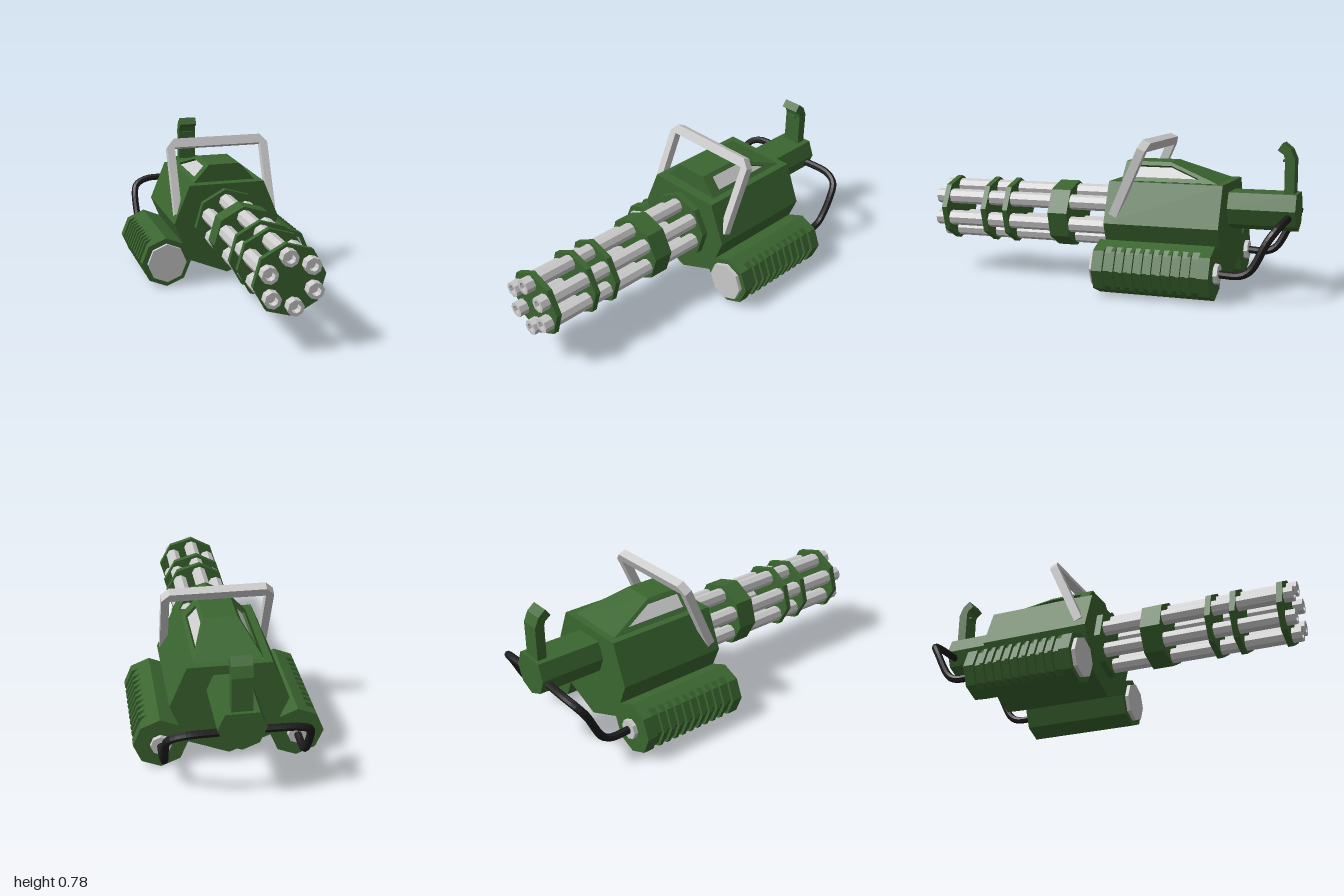
import * as THREE from 'three';

const mat = (color, side = THREE.FrontSide) =>
  new THREE.MeshStandardMaterial({ color, flatShading: true, side });
const green = mat(0x3b6630, THREE.DoubleSide);
const grey = mat(0xcccccc);
const black = mat(0x1c1c1c);

const AXIS_Y = 0.345; // height of the barrel axis
const RAD = Math.PI / 180;

export function createModel() {
  const root = new THREE.Group();

  const add = (name, geo, material, parent = root) => {
    const mesh = new THREE.Mesh(geo, material);
    mesh.name = name;
    parent.add(mesh);
    return mesh;
  };
  const group = (name) => {
    const g = new THREE.Group();
    g.name = name;
    root.add(g);
    return g;
  };
  // corner of a polygon at an angle in degrees
  const at = (deg, r, x = 0, y = 0) =>
    new THREE.Vector2(x + r * Math.cos(deg * RAD), y + r * Math.sin(deg * RAD));
  const ngon = (n, r, x, y, rot = 90) =>
    Array.from({ length: n }, (_, i) => at(rot + (i * 360) / n, r, x, y));
  const xy = (list) => list.map(([x, y]) => new THREE.Vector2(x, y));
  // prism along z between z0 (back) and z1 (front)
  const prism = (points, z0, z1) =>
    new THREE.ExtrudeGeometry(new THREE.Shape(points), { depth: z1 - z0, bevelEnabled: false })
      .translate(0, 0, z0);

  // main housing and rear housing: octagons without their top corner
  add('mainHousing', prism(ngon(8, 0.295, 0, AXIS_Y).slice(1), -0.655, -0.055), green);
  add('rearHousing', prism(ngon(8, 0.115, 0, 0.425).slice(1), -1, -0.65), green);

  // barrel cluster
  const cluster = group('barrelCluster');
  add('frontCollar', prism(ngon(8, 0.185, 0, AXIS_Y, 96), -0.06, -0.02), green, cluster);
  for (const [z0, z1] of [[0.2, 0.31], [0.55, 0.58], [0.68, 0.71], [0.92, 0.95]]) {
    add('barrelClamp', prism(ngon(8, 0.177, 0, AXIS_Y, 96), z0, z1), green, cluster);
  }
  const barrelProfile = xy([[0, -0.05], [0.041, -0.05], [0.041, 1], [0.024, 1], [0.024, 0.96], [0, 0.96]]);
  for (const c of ngon(6, 0.12, 0, AXIS_Y, 97)) {
    const barrel = new THREE.LatheGeometry(barrelProfile, 8)
      .rotateX(Math.PI / 2).rotateZ(7 * RAD).translate(c.x, c.y, 0);
    add('barrel', barrel, grey, cluster);
  }

  // top cover: front, roof and rear slope as one strip of quads
  const cover = group('topCover');
  const rows = [[0.17, 0.555, -0.11], [0.085, 0.65, -0.11], [0.085, 0.65, -0.35], [0.17, 0.555, -0.62]];
  const strip = [];
  for (let i = 0; i < 3; i++) {
    const [[w0, y0, z0], [w1, y1, z1]] = [rows[i], rows[i + 1]];
    strip.push(-w0, y0, z0, w0, y0, z0, w1, y1, z1, -w0, y0, z0, w1, y1, z1, -w1, y1, z1);
  }
  const coverGeo = new THREE.BufferGeometry();
  coverGeo.setAttribute('position', new THREE.Float32BufferAttribute(strip, 3));
  coverGeo.computeVertexNormals();
  add('coverShell', coverGeo, green, cover);

  // slanted cover sides with recessed windows
  const slant = Math.hypot(0.085, 0.095);
  const inset = 0.014;
  for (const s of [1, -1]) {
    const outline = (list) => xy(list.map(([d, t]) => [s * d, t * slant]));
    const windowPoints = outline([[0.17, 0.2], [0.52, 0.2], [0.36, 0.8], [0.17, 0.8]]);
    const panel = new THREE.Shape(outline([[0.11, 0], [0.62, 0], [0.35, 1], [0.11, 1]]));
    panel.holes.push(new THREE.Path(windowPoints));
    const u = new THREE.Vector3(0, 0, -s);
    const v = new THREE.Vector3(-s * 0.085, 0.095, 0).normalize();
    const frame = new THREE.Matrix4()
      .makeBasis(u, v, u.clone().cross(v))
      .setPosition(s * 0.17, 0.555, 0);
    const side = new THREE.ExtrudeGeometry(panel, { depth: inset, bevelEnabled: false });
    add('coverSide', side.translate(0, 0, -inset).applyMatrix4(frame), green, cover);
    const pane = new THREE.ShapeGeometry(new THREE.Shape(windowPoints));
    add('coverWindow', pane.translate(0, 0, -inset).applyMatrix4(frame), grey, cover);
  }

  // carrying handle: one tilted frame with chamfered top corners
  const handleHalf = [[0.245, 0], [0.286, 0], [0.286, 0.373], [0.245, 0.418]];
  const handlePoints = xy([
    [0.245, 0.368], ...handleHalf,
    ...handleHalf.map(([x, y]) => [-x, y]).reverse(), [-0.245, 0.368],
  ]);
  const handle = add('carryHandle', prism(handlePoints, -0.0225, 0.0225), grey);
  handle.position.set(0, 0.385, -0.1);
  handle.rotation.x = -24 * RAD;

  // side drums with ribbed outer faces, caps and hoses
  for (const s of [1, -1]) {
    const drum = group(s > 0 ? 'leftDrum' : 'rightDrum');
    const x = s * 0.342;
    const y = 0.136;
    const r = 0.136;
    const turn = (p) => new THREE.Vector2(x + s * p.x, y + p.y);
    const core = [
      at(90, r), at(90, r).lerp(at(45, r), 0.6),
      at(45, 0.119), at(0, 0.119), at(-45, 0.119),
      at(-90, r).lerp(at(-45, r), 0.6), at(-90, r),
      at(-135, r), at(180, r), at(135, r),
    ].map(turn);
    add('drumCore', prism(core, -0.64, -0.07), green, drum);
    add('drumFrontEnd', prism(ngon(8, r, x, y), -0.112, -0.055), green, drum);
    add('drumRearEnd', prism(ngon(8, r, x, y), -0.655, -0.598), green, drum);
    const pitch = 0.486 / 10;
    for (let i = 1; i < 10; i++) {
      const z = -0.112 - i * pitch;
      add('drumRib', prism(ngon(8, r, x, y), z - 0.01, z + 0.01), green, drum);
    }
    add('drumFrontCap', prism(ngon(8, 0.107, x, y), -0.06, -0.035), grey, drum);
    add('hoseNut', prism(ngon(8, 0.052, x, y), -0.677, -0.65), grey, drum);

    const path = [
      [0.342, 0.136, -0.66], [0.342, 0.136, -0.78], [0.342, 0.165, -0.83], [0.342, 0.31, -0.91],
      [0.325, 0.355, -0.94], [0.26, 0.385, -0.962], [0.09, 0.39, -0.962],
    ].map(([px, py, pz]) => new THREE.Vector3(s * px, py, pz));
    const curve = new THREE.CatmullRomCurve3(path, false, 'centripetal');
    add('hose', new THREE.TubeGeometry(curve, 28, 0.02, 8), black, drum);
  }

  // rear sight post, bent forward at the top (side profile as -z, y)
  const post = prism(xy([
    [0.932, 0.49], [0.982, 0.49], [0.982, 0.68], [0.96, 0.73], [0.92, 0.762],
    [0.894, 0.725], [0.925, 0.702], [0.932, 0.68],
  ]), -0.05, 0.05).rotateY(Math.PI / 2);
  add('rearPost', post, green);
  const tab = add('rearPostTab', new THREE.BoxGeometry(0.045, 0.012, 0.02), green);
  tab.position.set(0, 0.67, -0.928);

  return root;
}
